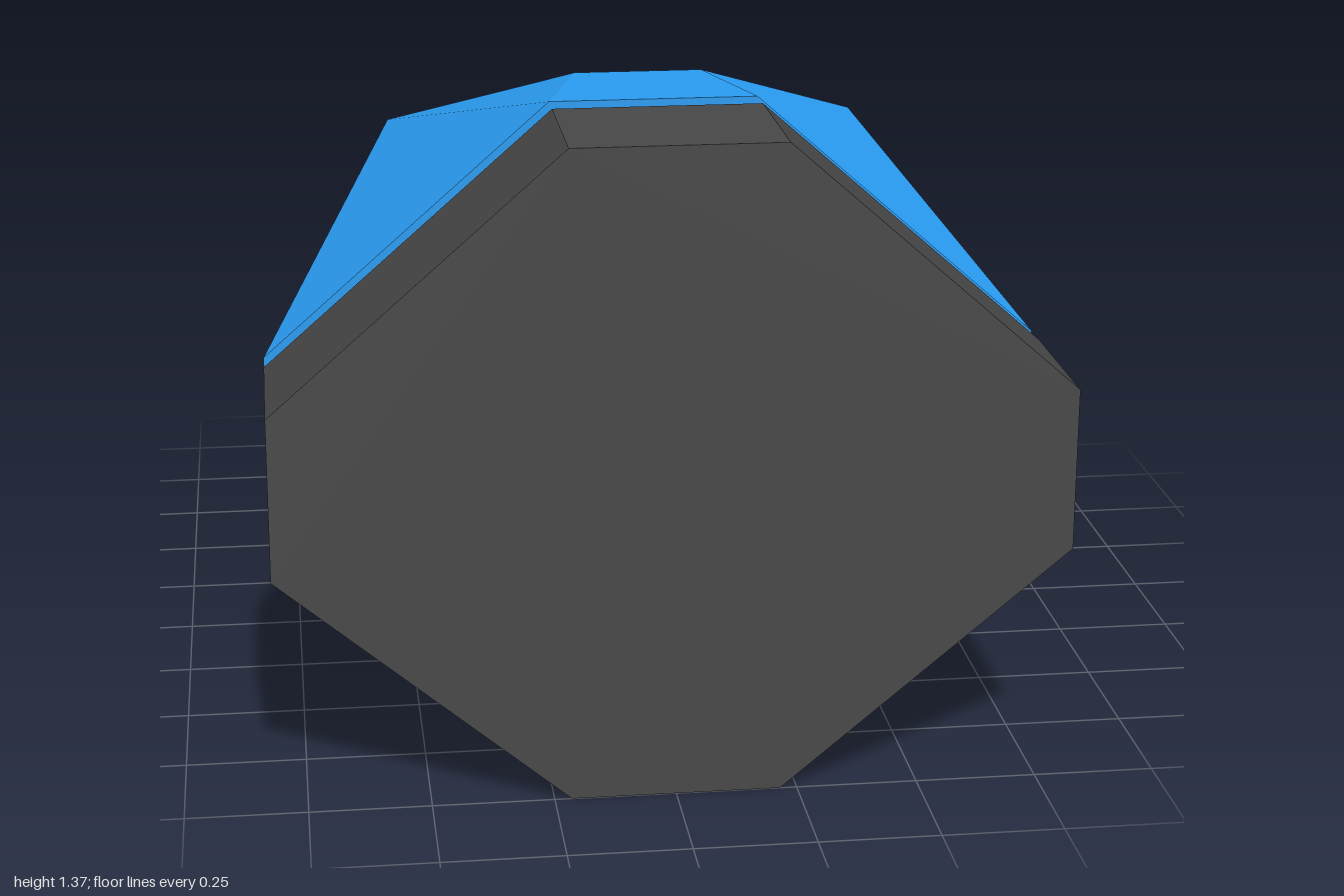
import * as THREE from 'three';

const CY = 0.67; // height of the long axis

const paint = (color, extra = {}) => new THREE.MeshStandardMaterial({ color, ...extra });

function add(group, name, geometry, material) {
  const mesh = new THREE.Mesh(geometry, material);
  mesh.name = name;
  group.add(mesh);
  return mesh;
}

// Four-sided faces listed as corner loops, seen counter-clockwise from outside
function quads(faces) {
  const pos = [];
  for (const [a, b, c, d] of faces) pos.push(...a, ...b, ...c, ...a, ...c, ...d);
  const geo = new THREE.BufferGeometry();
  geo.setAttribute('position', new THREE.Float32BufferAttribute(pos, 3));
  geo.computeVertexNormals();
  return geo;
}

// Ten-sided taper along z, with a corner pointing straight up
function taper(rBack, rFront, zBack, zFront, open) {
  return new THREE.CylinderGeometry(rFront, rBack, zFront - zBack, 10, 1, open)
    .rotateX(Math.PI / 2)
    .translate(0, CY, (zBack + zFront) / 2);
}

// Stretched octagon shared by the plate and the front of the housing
const TOP = 0.695, BOTTOM = 0.67, FLAT = 0.215, WIDE = 0.81, SIDE = 0.17;
const octagon = () => new THREE.Shape([
  [WIDE, SIDE], [FLAT, TOP], [-FLAT, TOP], [-WIDE, SIDE],
  [-WIDE, -SIDE], [-FLAT, -BOTTOM], [FLAT, -BOTTOM], [WIDE, -SIDE],
].map(([x, y]) => new THREE.Vector2(x, y)));

// Faceted outer skin, from the octagon at the front to a square at the back
function housingSkin() {
  const faces = [];
  const ridge = (sx, sy, x, z) => [sx * x, CY + (sy > 0 ? TOP : -BOTTOM), z];
  const side = (sx, sy) => [sx * WIDE, CY + sy * SIDE, 0.6];
  const corner = (sx, sy) => [sx * 0.52, CY + sy * 0.525, 0];
  for (const s of [1, -1]) {
    const put = (...f) => faces.push(s > 0 ? f : f.reverse());
    // top and bottom: flat front panel, then slope to the back
    put(ridge(-1, s, FLAT, 0.6), ridge(1, s, FLAT, 0.6), ridge(1, s, 0.135, 0.335), ridge(-1, s, 0.135, 0.335));
    put(ridge(-1, s, 0.135, 0.335), ridge(1, s, 0.135, 0.335), corner(1, s), corner(-1, s));
    // left and right panels
    put(side(s, -s), corner(s, -s), corner(s, s), side(s, s));
    if (s < 0) faces[faces.length - 1] = [side(-1, -1), side(-1, 1), corner(-1, 1), corner(-1, -1)];
    else faces[faces.length - 1] = [side(1, 1), side(1, -1), corner(1, -1), corner(1, 1)];
    // diagonal panels
    for (const sx of [1, -1]) {
      const f = [side(sx, s), corner(sx, s), ridge(sx, s, 0.135, 0.335), ridge(sx, s, FLAT, 0.6)];
      faces.push(sx * s > 0 ? f : f.reverse());
    }
  }
  return quads(faces);
}

// Square rim and the straight-walled recess behind it
function housingRecess() {
  const square = (hx, hy, z) => [[hx, CY + hy, z], [-hx, CY + hy, z], [-hx, CY - hy, z], [hx, CY - hy, z]];
  const rim = square(0.52, 0.525, 0), lip = square(0.43, 0.43, 0), deep = square(0.43, 0.43, 0.5);
  const faces = [[deep[0], deep[3], deep[2], deep[1]]];
  for (let i = 0; i < 4; i++) {
    const j = (i + 1) % 4;
    faces.push([rim[j], rim[i], lip[i], lip[j]], [lip[j], lip[i], deep[i], deep[j]]);
  }
  return quads(faces);
}

export function createModel() {
  const model = new THREE.Group();
  model.name = 'model';

  // Dark striking plate, floating just ahead of the housing
  const plate = new THREE.ExtrudeGeometry(octagon(), { depth: 0.335, bevelEnabled: false });
  add(model, 'frontPlate', plate.translate(0, CY, 0.665), paint(0x484848));

  // Blue housing
  const housing = new THREE.Group();
  housing.name = 'housing';
  const blue = paint(0x2a9cf2, { flatShading: true, side: THREE.DoubleSide });
  add(housing, 'housingSkin', housingSkin(), blue);
  add(housing, 'housingRecess', housingRecess(), blue);
  add(housing, 'housingFront', new THREE.ShapeGeometry(octagon()).translate(0, CY, 0.6), blue);
  model.add(housing);

  // Orange cone rising out of the recess
  add(model, 'collar', taper(0.3725, 0.58, -0.127, 0.5, false), paint(0xf8821b));

  // Brown hollow tube, open at the back
  add(model, 'tube', taper(0.255, 0.321, -1, -0.127, true), paint(0x5c2a0e, { side: THREE.DoubleSide }));

  return model;
}
